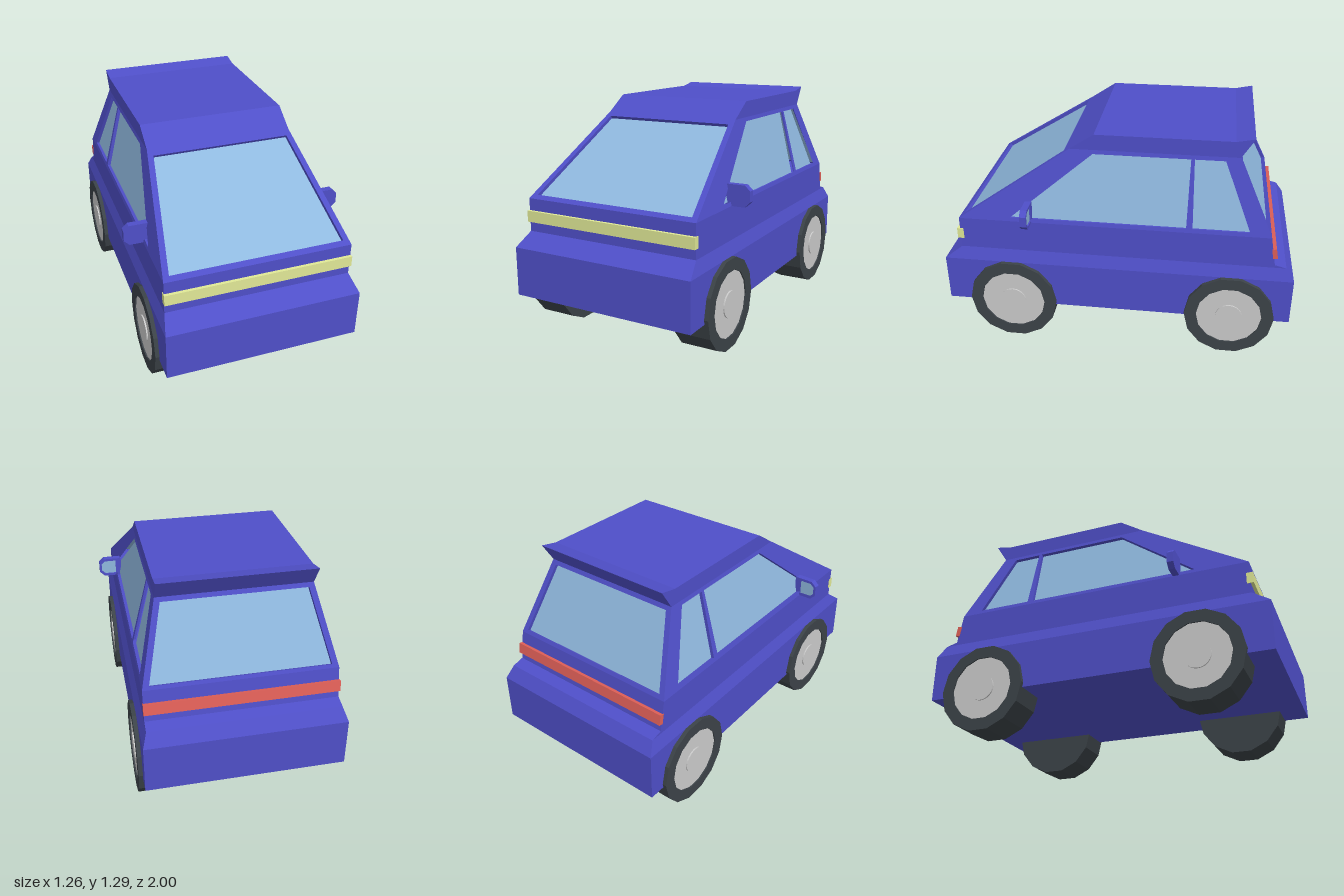
import * as THREE from 'three';

const paint = (color, side = THREE.FrontSide) =>
  new THREE.MeshStandardMaterial({ color, flatShading: true, side });
const MAT = {
  body: paint(0x4f4fc8),
  glass: paint(0x8fb8de, THREE.DoubleSide),
  tyre: paint(0x3c4348),
  rim: paint(0xcccccc),
  headlight: paint(0xe0e896),
  taillight: paint(0xe06058),
};
const V3 = (x, y, z) => new THREE.Vector3(x, y, z);
const pts = (list) => list.map(([a, b]) => new THREE.Vector2(a, b));

function add(parent, name, geometry, material) {
  const mesh = new THREE.Mesh(geometry, material);
  mesh.name = name;
  parent.add(mesh);
  return mesh;
}

function extrude(outer, holes, depth) {
  const shape = new THREE.Shape(pts(outer));
  shape.holes = holes.map((h) => new THREE.Path(pts(h)));
  return new THREE.ExtrudeGeometry(shape, { depth, bevelEnabled: false });
}

// Sloping panel with window openings; y of the outline is the true height
const RECESS = 0.02;
function windowPanel(parent, name, origin, u, v, outline, windows) {
  const n = u.clone().cross(v).normalize();
  const m = new THREE.Matrix4().makeBasis(u, v, n).setPosition(origin);
  const frame = extrude(outline, windows, RECESS).translate(0, 0, -RECESS);
  add(parent, name + 'Frame', frame.applyMatrix4(m), MAT.body);
  windows.forEach((w) => {
    const pane = new THREE.ShapeGeometry(new THREE.Shape(pts(w)));
    add(parent, name + 'Glass', pane.translate(0, 0, -RECESS + 0.001).applyMatrix4(m), MAT.glass);
  });
}

// Rectangular sections [y, frontZ, backZ, halfWidth] joined from bottom to top
function loftBoxes(rows) {
  const pos = [], index = [];
  rows.forEach(([y, f, b, w]) => pos.push(-w, y, f, w, y, f, w, y, b, -w, y, b));
  for (let r = 0; r < rows.length - 1; r++) {
    for (let i = 0; i < 4; i++) {
      const a = r * 4 + i, c = r * 4 + ((i + 1) % 4);
      index.push(a, c, c + 4, a, c + 4, a + 4);
    }
  }
  const t = (rows.length - 1) * 4;
  index.push(0, 3, 2, 0, 2, 1, t, t + 1, t + 2, t, t + 2, t + 3);
  const g = new THREE.BufferGeometry();
  g.setAttribute('position', new THREE.Float32BufferAttribute(pos, 3));
  g.setIndex(index);
  const flat = g.toNonIndexed();
  flat.computeVertexNormals();
  return flat;
}

function makeWheel(side, z) {
  const wheel = new THREE.Group();
  wheel.name = 'wheel';
  const R = 0.256, rim = 0.187, w = 0.208;
  const profile = pts([[0, 0], [R, 0], [R, w], [rim, w], [rim, w - 0.02], [0, w - 0.02]]);
  add(wheel, 'tyre', new THREE.LatheGeometry(profile, 14), MAT.tyre);
  add(wheel, 'rim', new THREE.CylinderGeometry(rim, rim, 0.03, 14), MAT.rim).position.y = w - 0.023;
  add(wheel, 'hub', new THREE.CylinderGeometry(0.075, 0.075, 0.02, 24), MAT.rim).position.y = w - 0.01;
  wheel.rotation.z = -side * Math.PI / 2;
  wheel.position.set(side * 0.365, 0.25, z);
  return wheel;
}

function makeMirror(side) {
  const mirror = new THREE.Group();
  mirror.name = 'wingMirror';
  const flip = (list) => list.map(([x, y]) => [x * side, y]);
  const outline = flip([[0.49, 0.76], [0.6, 0.76], [0.63, 0.79], [0.63, 0.85], [0.6, 0.878], [0.49, 0.878]]);
  const opening = flip([[0.525, 0.775], [0.594, 0.775], [0.616, 0.797], [0.616, 0.843], [0.594, 0.863], [0.525, 0.863]]);
  add(mirror, 'mirrorShell', extrude(outline, [], 0.022).translate(0, 0, 0.493), MAT.body);
  add(mirror, 'mirrorRim', extrude(outline, [opening], 0.015).translate(0, 0, 0.478), MAT.body);
  add(mirror, 'mirrorGlass', extrude(opening, [], 0.008).translate(0, 0, 0.486), MAT.glass);
  return mirror;
}

export function createModel() {
  const car = new THREE.Group();
  car.name = 'car';

  // Lower body with bumpers
  add(car, 'lowerBody', loftBoxes([
    [0.225, 1, -1, 0.55],
    [0.5, 1, -1, 0.55],
    [0.573, 0.9, -0.953, 0.525],
    [0.59, 0.9, -0.888, 0.525],
    [0.76, 0.9, -0.857, 0.525],
  ]), MAT.body);

  // Roof with rear spoiler lip
  const roof = extrude([[0.266, 1.18], [0.13, 1.27], [-0.63, 1.27], [-0.73, 1.29], [-0.66, 1.18]], [], 0.84);
  add(car, 'roof', roof.translate(0, 0, -0.42).rotateY(-Math.PI / 2), MAT.body);

  // Windscreen and rear window: the outline is [x, height above the waistline]
  const WAIST = 0.76, RISE = 0.42;
  const trapezoid = [[-0.525, 0], [0.525, 0], [0.42, RISE], [-0.42, RISE]];
  const pane = [[-0.487, 0.018], [0.487, 0.018], [0.393, 0.397], [-0.393, 0.397]];
  windowPanel(car, 'windscreen', V3(0, WAIST, 0.9), V3(1, 0, 0), V3(0, 1, -0.634 / RISE), trapezoid, [pane]);
  windowPanel(car, 'rearWindow', V3(0, WAIST, -0.857), V3(-1, 0, 0), V3(0, 1, 0.197 / RISE), trapezoid, [pane]);

  // Sides: the outline is [z, height above the waistline]
  const sideOutline = [[0.9, 0], [0.266, RISE], [-0.66, RISE], [-0.857, 0]];
  const sideWindows = [
    [[0.6, 0.022], [0.137, 0.398], [-0.398, 0.398], [-0.39, 0.022]],
    [[-0.425, 0.022], [-0.417, 0.398], [-0.583, 0.398], [-0.738, 0.022]],
  ];
  for (const s of [1, -1]) {
    const flip = (list) => list.map(([z, y]) => [-s * z, y]);
    windowPanel(car, s > 0 ? 'leftSide' : 'rightSide', V3(s * 0.525, WAIST, 0),
      V3(0, 0, -s), V3(-s * 0.25, 1, 0), flip(sideOutline), sideWindows.map(flip));
    car.add(makeMirror(s));
    car.add(makeWheel(s, 0.607), makeWheel(s, -0.656));
  }

  // Full-width light bars
  add(car, 'headlightBar', new THREE.BoxGeometry(1.056, 0.063, 0.037), MAT.headlight).position.set(0, 0.661, 0.899);
  const tail = add(car, 'taillightBar', new THREE.BoxGeometry(1.056, 0.06, 0.026), MAT.taillight);
  tail.position.set(0, 0.662, -0.882);
  tail.rotation.x = 0.18;

  return car;
}
